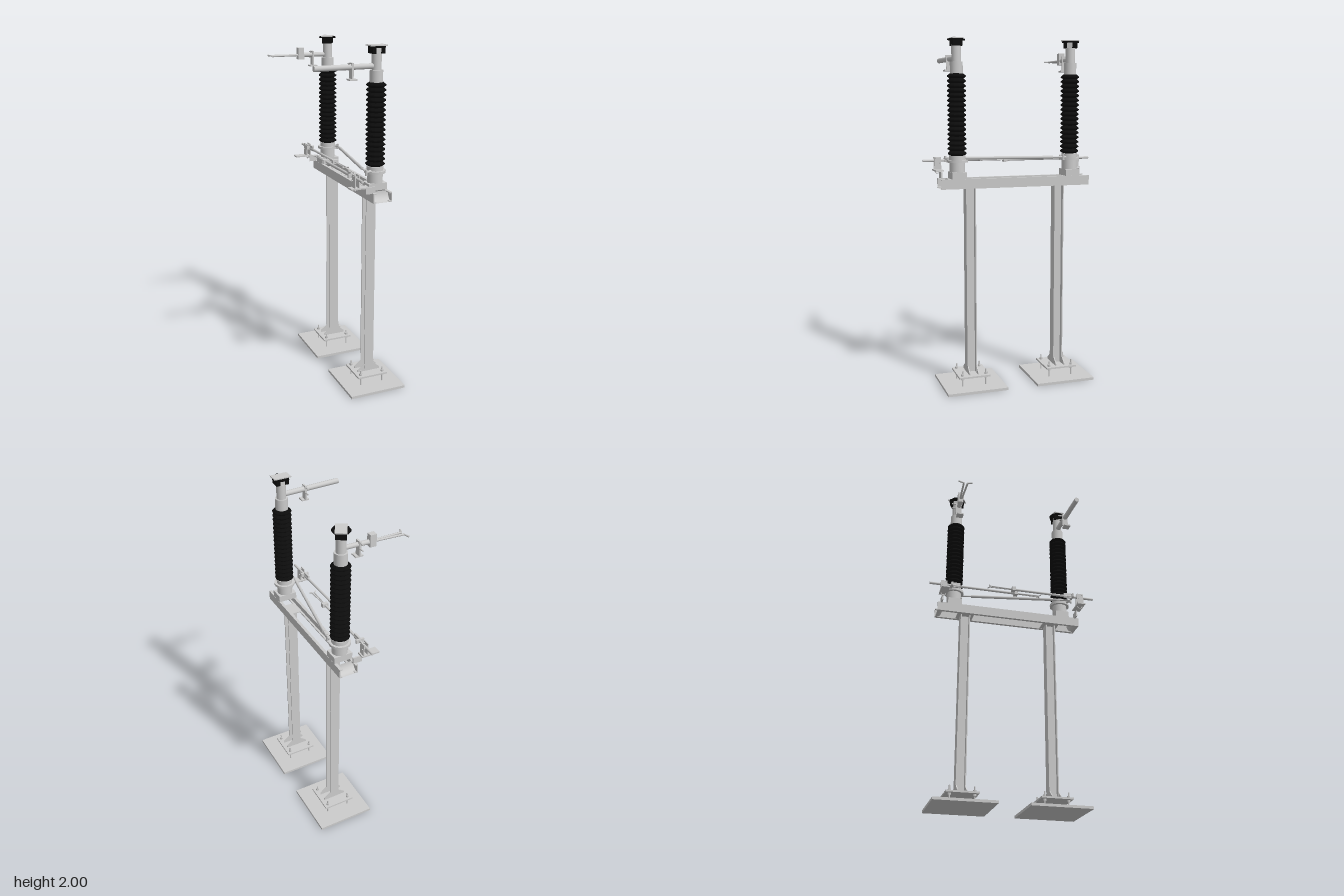
import * as THREE from 'three';

const grey = new THREE.MeshStandardMaterial({ color: 0xcccccc, side: THREE.DoubleSide });
const black = new THREE.MeshStandardMaterial({ color: 0x0c0c0c, side: THREE.DoubleSide });
const PX = 0.097, PZ = 0.34; // insulator post axis
const CZ = 0.268;            // column axis

function add(parent, name, geo, mat = grey) {
  const m = new THREE.Mesh(geo, mat);
  m.name = name;
  parent.add(m);
  return m;
}

// box given by its extents
function box(parent, name, x0, x1, y0, y1, z0, z1, mat) {
  const m = add(parent, name, new THREE.BoxGeometry(x1 - x0, y1 - y0, z1 - z0), mat);
  m.position.set((x0 + x1) / 2, (y0 + y1) / 2, (z0 + z1) / 2);
  return m;
}

// upright cylinder
function drum(parent, name, x, z, y0, y1, r, sides = 16, mat) {
  const m = add(parent, name, new THREE.CylinderGeometry(r, r, y1 - y0, sides), mat);
  m.position.set(x, (y0 + y1) / 2, z);
  return m;
}

// round bar between two points
function bar(parent, name, a, b, r, sides = 12) {
  const p = new THREE.Vector3(...a), q = new THREE.Vector3(...b);
  const m = add(parent, name, new THREE.CylinderGeometry(r, r, p.distanceTo(q), sides));
  m.position.copy(p).lerp(q, 0.5);
  m.quaternion.setFromUnitVectors(new THREE.Vector3(0, 1, 0), q.sub(p).normalize());
}

function polyShape(pts) {
  return new THREE.Shape(pts.map(p => new THREE.Vector2(...p)));
}

// ground plate, anchored base plate, H column and gussets
function support(s) {
  const g = new THREE.Group();
  g.name = 'support';
  const z = s * CZ;
  box(g, 'groundPlate', -0.08, 0.265, 0, 0.015, z - 0.178, z + 0.178);
  box(g, 'basePlate', 0.002, 0.19, 0.066, 0.076, z - 0.093, z + 0.093);
  for (const dx of [-0.07, 0.07]) for (const dz of [-0.07, 0.07]) {
    drum(g, 'anchorBolt', 0.096 + dx, z + dz, 0.01, 0.108, 0.0045, 8);
    drum(g, 'upperNut', 0.096 + dx, z + dz, 0.076, 0.088, 0.009, 6);
    drum(g, 'lowerNut', 0.096 + dx, z + dz, 0.054, 0.066, 0.009, 6);
  }
  const w = 0.029, t = 0.006;
  for (const k of [-1, 1]) {
    const f = z + k * (w - t / 2);
    box(g, 'columnFlange', PX - w, PX + w, 0.076, 1.166, f - t / 2, f + t / 2);
    for (const d of [-1, 1]) {
      const tri = polyShape([[d * w, 0], [d * 0.07, 0], [d * 0.07, 0.012], [d * w, 0.045]]);
      const gusset = add(g, 'gusset', new THREE.ExtrudeGeometry(tri, { depth: 0.005, bevelEnabled: false }));
      gusset.position.set(PX, 0.076, z + k * 0.026 - 0.0025);
    }
  }
  box(g, 'columnWeb', PX - t / 2, PX + t / 2, 0.076, 1.166, z - w + t, z + w - t);
  return g;
}

// pair of channel beams with curved end pieces
function beams() {
  const g = new THREE.Group();
  g.name = 'beamFrame';
  const c = polyShape([[0, 0], [0.017, 0], [0.017, 0.006], [0.005, 0.006], [0.005, 0.049], [0.017, 0.049], [0.017, 0.055], [0, 0.055]]);
  for (const s of [-1, 1]) {
    const m = add(g, 'channelBeam', new THREE.ExtrudeGeometry(c, { depth: 0.888, bevelEnabled: false }));
    m.position.set(PX + s * 0.056, 1.165, s < 0 ? -0.444 : 0.444);
    if (s > 0) m.rotation.y = Math.PI;
    // concave end plate
    const p = new THREE.PlaneGeometry(0.11, 1, 1, 8), a = p.attributes.position;
    for (let i = 0; i < a.count; i++) {
      const q = (a.getY(i) + 0.5) * Math.PI / 2;
      a.setXYZ(i, a.getX(i), 1.22 - 0.055 * Math.sin(q), s * (0.40 + 0.043 * (1 - Math.cos(q))));
    }
    p.computeVertexNormals();
    add(g, 'endPlate', p).position.x = PX;
    box(g, 'capPlate', PX - 0.054, PX + 0.054, 1.166, 1.172, s * CZ - 0.05, s * CZ + 0.05);
  }
  return g;
}

// pedestal, ribbed insulator, head and terminal
function post(s, turn) {
  const g = new THREE.Group();
  g.name = 'insulatorPost';
  g.position.set(PX, 0, s * PZ);
  box(g, 'mount', -0.055, 0.055, 1.22, 1.258, -0.042, 0.042);
  drum(g, 'pedestal', 0, 0, 1.258, 1.312, 0.044, 20);
  drum(g, 'flange', 0, 0, 1.312, 1.326, 0.06, 20);
  drum(g, 'lowerCollar', 0, 0, 1.326, 1.35, 0.046, 20);
  const n = 17, h = 0.455 / n, prof = [[0, 1.35]];
  for (let i = 0; i < n; i++) {
    const y = 1.35 + i * h;
    prof.push([0.04, y], [0.054, y + h * 0.35], [0.054, y + h * 0.55], [0.04, y + h]);
  }
  prof.push([0, 1.806]);
  add(g, 'insulator', new THREE.LatheGeometry(prof.map(p => new THREE.Vector2(...p)), 12),
    new THREE.MeshStandardMaterial({ color: 0x0c0c0c, side: THREE.DoubleSide, flatShading: true }));
  drum(g, 'headCap', 0, 0, 1.805, 1.87, 0.036, 20);
  drum(g, 'neck', 0, 0, 1.87, 1.955, 0.027, 20);
  const t = new THREE.Group();
  t.name = 'terminal';
  t.rotation.y = turn;
  for (const k of [-1, 1]) box(t, 'terminalLeg', k * 0.026 - 0.011, k * 0.026 + 0.011, 1.955, 1.986, -0.028, 0.028, black);
  box(t, 'terminalCore', -0.015, 0.015, 1.955, 1.986, -0.022, 0.022);
  drum(t, 'terminalDisc', 0, 0, 1.986, 1.994, 0.05, 8, black);
  box(t, 'terminalPad', -0.05, 0.05, 1.994, 2, -0.031, 0.031);
  g.add(t);
  return g;
}

// bracket hanging below a contact arm
function hanger(g, x, z, s) {
  box(g, 'hangerClamp', x - 0.005, x + 0.005, 1.83, 1.912, z - 0.018, z + 0.018);
  box(g, 'hangerFoot', x - 0.022, x + 0.022, 1.822, 1.83, z - 0.012, z + 0.03);
  for (const y of [1.872, 1.904]) bar(g, 'hangerPin', [x, y, z - 0.045], [x, y, z + 0.01], 0.004, 8);
}

function contactArms() {
  const g = new THREE.Group();
  g.name = 'contactArms';
  const y = 1.89;
  bar(g, 'bladeArm', [PX, y, PZ], [-0.265, y, 0.353], 0.015, 16);
  hanger(g, -0.05, 0.345);
  bar(g, 'jawArm', [PX, y, -PZ], [-0.06, y, -0.347], 0.013, 16);
  hanger(g, 0, -0.345);
  box(g, 'jawBlock', -0.092, -0.056, 1.865, 1.933, -0.365, -0.332);
  for (const [z0, z1, z2] of [[-0.353, -0.364, -0.397], [-0.344, -0.341, -0.314]]) {
    bar(g, 'jawFinger', [-0.08, y, z0], [-0.252, y, z1], 0.006, 8);
    bar(g, 'jawTip', [-0.252, y, z1], [-0.262, y, z2], 0.005, 8);
  }
  return g;
}

// earthing rod with forked end, running from one bracket past the middle
function earthRod(x, s, mid, tip) {
  const g = new THREE.Group();
  g.name = 'earthRod';
  const y = 1.312;
  bar(g, 'rod', [x, y, s * 0.507], [x, y, mid], 0.0075);
  box(g, 'forkBlock', x - 0.018, x + 0.018, y - 0.012, y + 0.012, mid - 0.011, mid + 0.011);
  for (const k of [-1, 1]) {
    const e = tip + s * 0.008;
    bar(g, 'forkFinger', [x + k * 0.003, y, mid], [x + k * 0.007, y, e], 0.0035, 8);
    bar(g, 'forkTip', [x + k * 0.007, y, e], [x + k * 0.02, y, tip], 0.0035, 8);
  }
  // bracket carrying the rod
  const z = s * 0.421;
  box(g, 'bracketPlate', -0.091, 0.016, 1.253, 1.261, z - 0.024, z + 0.024);
  box(g, 'bracketStrut', 0.005, 0.06, 1.216, 1.254, z - 0.004, z + 0.004);
  for (const k of [-1, 1]) {
    box(g, 'rodGuide', x + k * 0.012 - 0.003, x + k * 0.012 + 0.003, 1.26, 1.332, z - 0.02, z + 0.02);
    bar(g, 'guidePin', [x - 0.02, y + k * 0.013, z + k * 0.01], [x + 0.02, y + k * 0.013, z + k * 0.01], 0.003, 8);
  }
  const u = add(g, 'uBolt', new THREE.TorusGeometry(0.014, 0.003, 6, 12, Math.PI));
  u.position.set(x, 1.253, z);
  u.rotation.set(0, Math.PI / 2, Math.PI);
  // rod stop
  box(g, 'rodStop', x - 0.024, x + 0.024, y - 0.008, y + 0.014, s * 0.373 - 0.006, s * 0.373 + 0.006);
  box(g, 'rodCatch', x - 0.005, x + 0.005, y - 0.01, y + 0.02, s * 0.345 - 0.025, s * 0.345 + 0.025);
  return g;
}

// diagonal link joining the two post levers
function couplingLink() {
  const g = new THREE.Group();
  g.name = 'couplingLink';
  const a = new THREE.Vector3(0.022, 1.33, 0.39), b = new THREE.Vector3(0.142, 1.33, -0.285);
  const at = t => a.clone().lerp(b, t).toArray();
  bar(g, 'linkTube', at(0.13), at(0.91), 0.009);
  bar(g, 'linkEnds', at(0), at(1), 0.005, 8);
  bar(g, 'frontLever', [PX, 1.322, PZ], a.toArray(), 0.008, 8);
  bar(g, 'backLever', [PX, 1.322, -PZ], b.toArray(), 0.008, 8);
  for (const p of [a, b]) drum(g, 'leverPin', p.x, p.z, 1.312, 1.343, 0.007, 8);
  return g;
}

export function createModel() {
  const model = new THREE.Group();
  model.name = 'disconnectSwitch';
  model.add(
    support(1), support(-1), beams(),
    post(1, 0), post(-1, Math.PI / 3),
    contactArms(),
    earthRod(-0.054, 1, -0.002, -0.156),
    earthRod(-0.008, -1, 0.025, 0.18),
    couplingLink()
  );
  return model;
}
